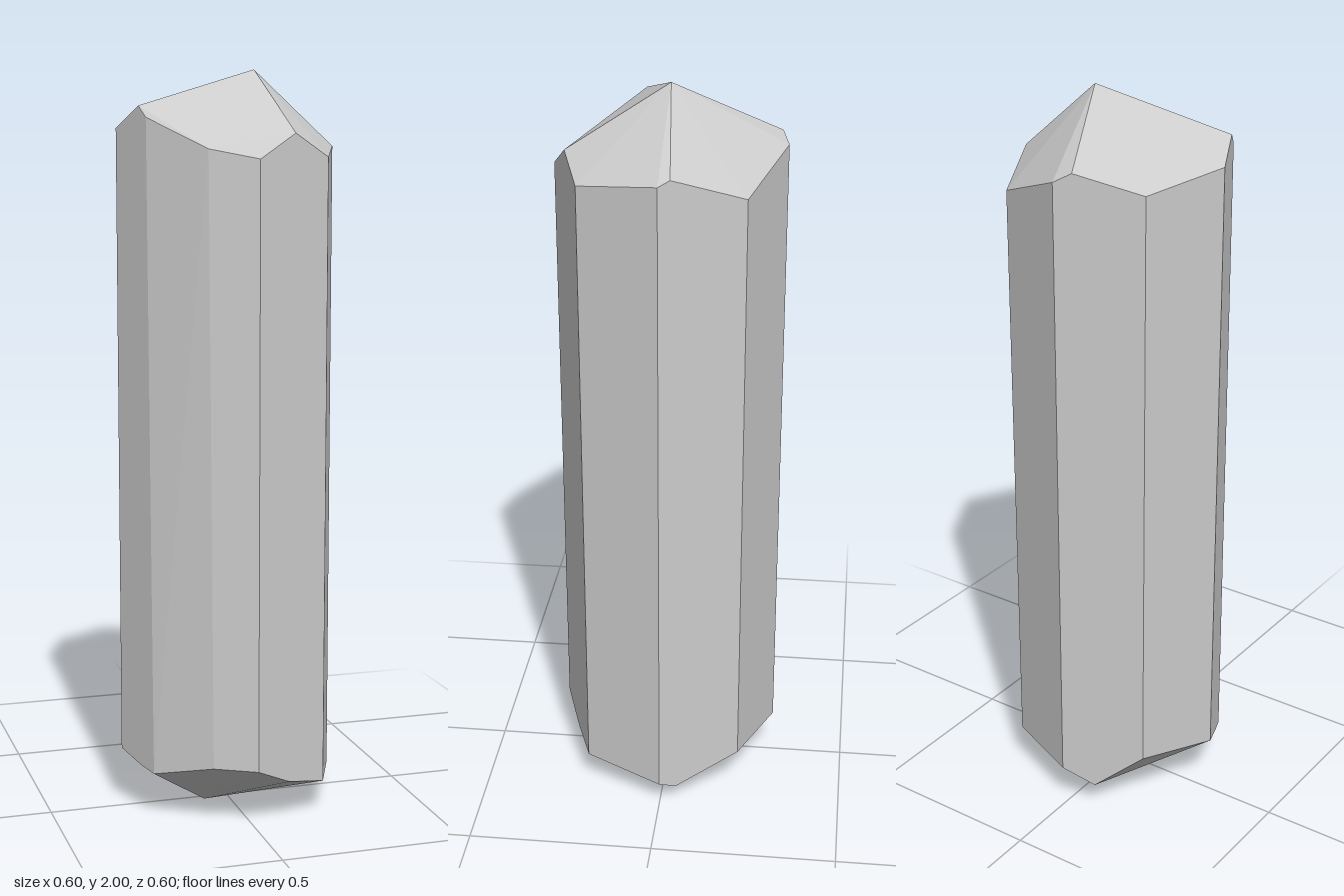
import * as THREE from 'three';
import { ConvexGeometry } from 'three/addons/geometries/ConvexGeometry.js';

const RADIUS = 0.3;

// Point on the octagonal outline: whole k is a corner, fractions lie along a side.
// k runs from +x (0) through +z (2) and -x (4) to -z (6).
function outlinePoint(k, y) {
  const corner = (i) => {
    const a = (i * Math.PI) / 4;
    return new THREE.Vector3(RADIUS * Math.cos(a), y, RADIUS * Math.sin(a));
  };
  const i = Math.floor(k);
  return corner(i).lerp(corner(i + 1), k - i);
}

export function createModel() {
  // Where the upper facets meet the shaft: [outline position, height]
  const shoulder = [
    [0, 1.8], [1, 1.77], [1.49, 1.83], [2, 1.765], [2.57, 1.79], [3.43, 1.87],
    [3.57, 1.9], [4, 1.845], [5, 1.81], [5.79, 1.855], [6, 1.83], [7, 1.75], [7.86, 1.815],
  ];
  // Where the lower facets meet the shaft; corner 3 is bevelled off
  const foot = [
    [0, 0.065], [1, 0.09], [1.53, 0.115], [2, 0.165], [2.52, 0.17], [3.36, 0.13],
    [3.62, 0.14], [4, 0.165], [5, 0.19], [5.6, 0.08], [6, 0.125], [7, 0.13], [7.79, 0.05],
  ];
  // Off-centre apex and the small resting facet
  const tips = [[0.08, 2, -0.01], [0.1, 0, -0.01], [-0.03, 0, -0.06], [-0.07, 0, 0.02]];

  const points = [
    ...[...shoulder, ...foot].map(([k, y]) => outlinePoint(k, y)),
    ...tips.map((p) => new THREE.Vector3(...p)),
  ];

  const crystal = new THREE.Mesh(
    new ConvexGeometry(points),
    new THREE.MeshStandardMaterial({ color: 0xcccccc, flatShading: true })
  );
  crystal.name = 'crystal';

  const model = new THREE.Group();
  model.name = 'crystalShard';
  model.add(crystal);
  return model;
}
